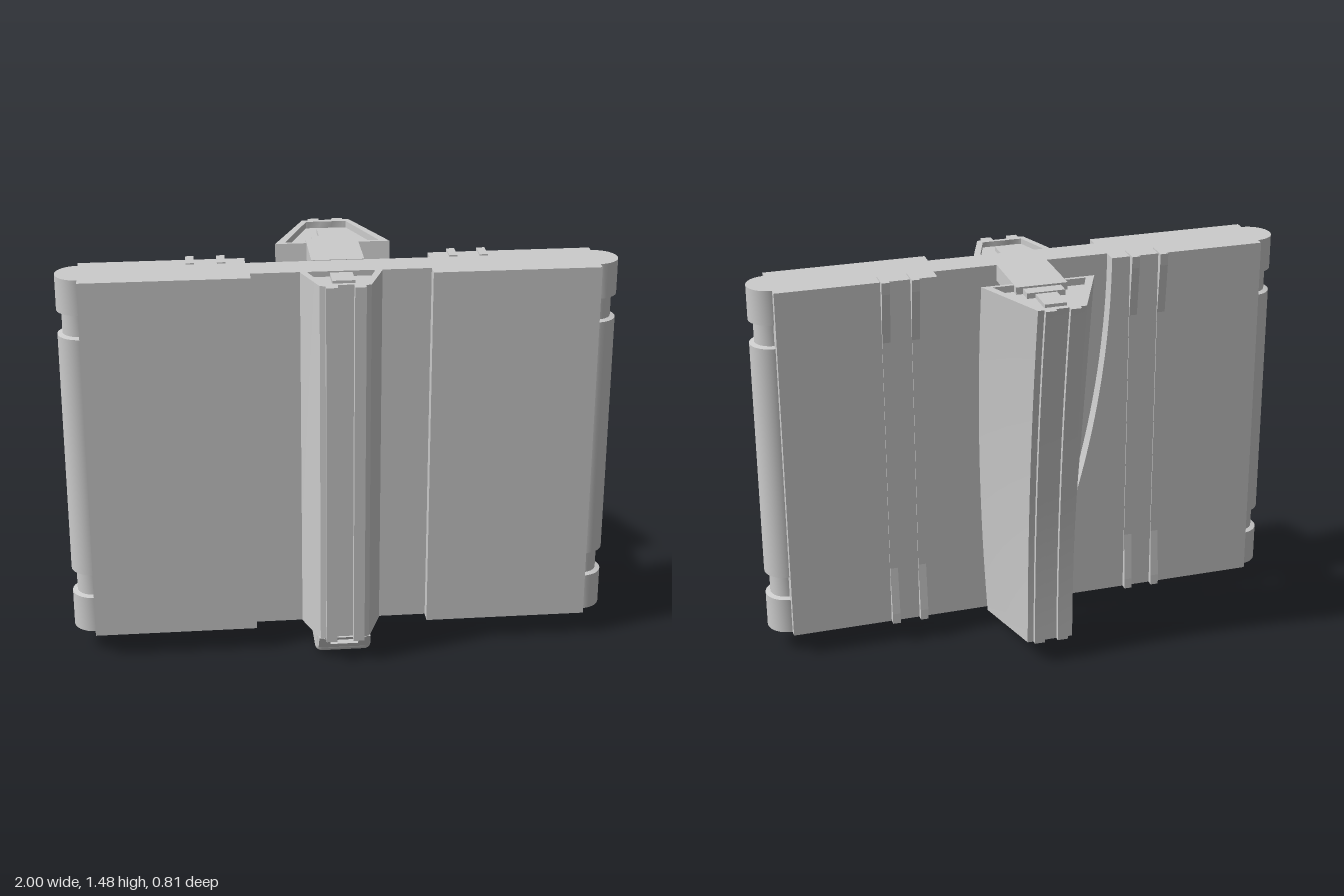
import * as THREE from 'three';
import { toCreasedNormals } from 'three/addons/utils/BufferGeometryUtils.js';
import { RoundedBoxGeometry } from 'three/addons/geometries/RoundedBoxGeometry.js';

const material = new THREE.MeshStandardMaterial({ color: 0xcccccc });
const BOTTOM = 0.09, TOP = 1.47;

function add(parent, name, geometry) {
  const mesh = new THREE.Mesh(geometry, material);
  mesh.name = name;
  parent.add(mesh);
  return mesh;
}

// Box given by its limits on each axis
function addBox(parent, name, [x0, x1], [y0, y1], [z0, z1]) {
  const mesh = add(parent, name, new THREE.BoxGeometry(x1 - x0, y1 - y0, z1 - z0));
  mesh.position.set((x0 + x1) / 2, (y0 + y1) / 2, (z0 + z1) / 2);
  return mesh;
}

// Completes a half outline of [x, z] points by mirroring it in x
const mirrored = (half) => [...half, ...half.map(([x, z]) => [-x, z]).reverse()];

// Skin over rings of { y, points }, closed at both ends
function loft(rings) {
  const out = [];
  const put = (ring, i) => out.push(ring.points[i][0], ring.y, ring.points[i][1]);
  const n = rings[0].points.length;
  for (let r = 0; r < rings.length - 1; r++) {
    const a = rings[r], b = rings[r + 1];
    for (let i = 0; i < n; i++) {
      const j = (i + 1) % n;
      put(a, i); put(a, j); put(b, j);
      put(a, i); put(b, j); put(b, i);
    }
  }
  const cap = (ring, up) => {
    const contour = ring.points.map(([x, z]) => new THREE.Vector2(x, -z));
    for (const [i, j, k] of THREE.ShapeUtils.triangulateShape(contour, [])) {
      put(ring, i); put(ring, up ? j : k); put(ring, up ? k : j);
    }
  };
  cap(rings[0], false);
  cap(rings[rings.length - 1], true);
  const geometry = new THREE.BufferGeometry();
  geometry.setAttribute('position', new THREE.Float32BufferAttribute(out, 3));
  return toCreasedNormals(geometry, 0.4);
}

function buildPanel(group) {
  const panel = new THREE.Group();
  panel.name = 'panel';
  group.add(panel);
  addBox(panel, 'panelCentre', [-0.32, 0.32], [BOTTOM, TOP], [0.1, 0.22]);

  for (const side of [-1, 1]) {
    const span = (a, b) => (side > 0 ? [a, b] : [-b, -a]);
    addBox(panel, 'panelWing', span(0.32, 0.92), [BOTTOM, TOP], [0.1, 0.27]);

    // Rear skin whose inner edge curves inward toward the bottom
    const skin = new THREE.Shape();
    skin.moveTo(side * 0.92, BOTTOM);
    skin.lineTo(side * 0.92, TOP);
    for (let i = 0; i <= 24; i++) {
      const drop = (i / 24) * (TOP - BOTTOM);
      skin.lineTo(side * (0.33 - 0.145 * drop * drop), TOP - drop);
    }
    skin.closePath();
    const skinGeometry = new THREE.ExtrudeGeometry(skin, { depth: 0.055, bevelEnabled: false });
    add(panel, 'rearSkin', toCreasedNormals(skinGeometry, 0.4)).position.z = 0.045;

    // Stepped hinge barrel along the outer edge
    const barrel = [
      [0, BOTTOM], [0.08, BOTTOM], [0.08, 0.23], [0.062, 0.235], [0.062, 0.32], [0.08, 0.325],
      [0.08, 1.25], [0.062, 1.255], [0.062, 1.335], [0.08, 1.34], [0.08, TOP], [0, TOP],
    ].map(([r, y]) => new THREE.Vector2(r, y));
    add(panel, 'edgeBarrel', toCreasedNormals(new THREE.LatheGeometry(barrel, 32), 0.5))
      .position.set(side * 0.92, 0, 0.155);

    // Rear ribs: thin strips that thicken into wedges at both ends
    for (const x of [0.415, 0.525]) {
      const rib = new THREE.Shape([
        [-0.1, BOTTOM], [-0.02, BOTTOM], [-0.022, 0.13], [-0.04, 0.32], [-0.04, 1.24],
        [-0.022, 1.43], [-0.02, 1.475], [-0.1, 1.475],
      ].map(([z, y]) => new THREE.Vector2(z, y)));
      const geometry = new THREE.ExtrudeGeometry(rib, { depth: 0.03, bevelEnabled: false });
      geometry.translate(0, 0, -0.015).rotateY(Math.PI / 2);
      // The turn sends shape x to -z
      geometry.rotateY(Math.PI).scale(1, 1, 1);
      geometry.rotateY(Math.PI);
      add(panel, 'rearRib', geometry.rotateY(0)).position.x = side * x;
      geometry.computeBoundingBox();
      if (geometry.boundingBox.max.z > 0.05) panel.children.at(-1).position.z = 0;
    }
  }
}

function buildFrontSpine(group) {
  const outer = mirrored([
    [-0.145, 0.2], [-0.145, 0.225], [-0.09, 0.375], [-0.07, 0.38], [-0.07, 0.402], [-0.03, 0.402], [-0.03, 0.37],
  ]);
  const inner = mirrored([
    [-0.118, 0.21], [-0.118, 0.23], [-0.075, 0.352], [-0.07, 0.353], [-0.065, 0.354], [-0.03, 0.354], [-0.025, 0.353],
  ]);
  add(group, 'frontSpine', loft([
    { y: BOTTOM, points: outer }, { y: TOP, points: outer },
    { y: TOP, points: inner }, { y: TOP - 0.02, points: inner },
  ]));
  addBox(group, 'spineTopKey', [-0.04, 0.04], [1.43, 1.465], [0.21, 0.31]);
}

function buildRearHandle(group) {
  const outline = (u) => {
    const w = 0.165 + 0.045 * u * (2 - u);
    const shift = 0.122 * (1 - u * u);
    return mirrored([
      [w, -0.105], [0.088, -0.385], [0.065, -0.385], [0.065, -0.403], [0.025, -0.403], [0.025, -0.385],
    ]).map(([x, z]) => [x, z + shift]);
  };
  const inner = mirrored([
    [0.172, -0.12], [0.075, -0.362], [0.065, -0.363], [0.06, -0.364], [0.025, -0.364], [0.02, -0.363],
  ]);
  const rings = [];
  for (let i = 0; i <= 24; i++) {
    const u = i / 24;
    rings.push({ y: BOTTOM + u * (TOP - BOTTOM), points: outline(u) });
  }
  rings.push({ y: TOP, points: inner }, { y: TOP - 0.025, points: inner });
  add(group, 'rearHandle', loft(rings));

  // Stepped bridge joining the handle to the panel at the top
  addBox(group, 'topBridge', [-0.095, 0.095], [1.41, TOP + 0.002], [-0.15, 0.1]);
  addBox(group, 'topBridgeStep', [-0.07, 0.07], [1.41, 1.465], [-0.2, -0.15]);
  addBox(group, 'topBridgeTongue', [-0.04, 0.04], [1.41, 1.46], [-0.31, -0.2]);
}

function buildFoot(group) {
  const foot = new THREE.Group();
  foot.name = 'foot';
  group.add(foot);
  add(foot, 'footBlock', new RoundedBoxGeometry(0.21, 0.1, 0.3, 3, 0.025)).position.set(0, 0.05, 0.17);

  // Front lip with a slot in it
  const lip = new THREE.Shape([[-0.095, 0.03], [0.095, 0.03], [0.095, 0.095], [-0.095, 0.095]]
    .map(([x, y]) => new THREE.Vector2(x, y)));
  lip.holes.push(new THREE.Path([[-0.052, 0.052], [-0.052, 0.08], [0.052, 0.08], [0.052, 0.052]]
    .map(([x, y]) => new THREE.Vector2(x, y))));
  const geometry = new THREE.ExtrudeGeometry(lip, { depth: 0.07, bevelEnabled: false });
  // Slope the lip back toward its lower edge
  const p = geometry.attributes.position;
  for (let i = 0; i < p.count; i++) {
    if (p.getZ(i) > 0.01) p.setZ(i, 0.08 - (0.095 - p.getY(i)) * 0.7);
  }
  geometry.computeVertexNormals();
  add(foot, 'footLip', geometry).position.z = 0.3;

  // Rear link under the handle, cut at a slant
  const link = mirrored([[0.085, 0.06], [0.085, -0.095]]);
  add(foot, 'bottomLink', loft([
    { y: 0.04, points: link },
    { y: 0.095, points: link.map(([x, z]) => [x, z < 0 ? z + 0.015 : z]) },
  ]));
}

export function createModel() {
  const model = new THREE.Group();
  model.name = 'hingedPanel';
  buildPanel(model);
  buildFrontSpine(model);
  buildRearHandle(model);
  buildFoot(model);
  return model;
}
